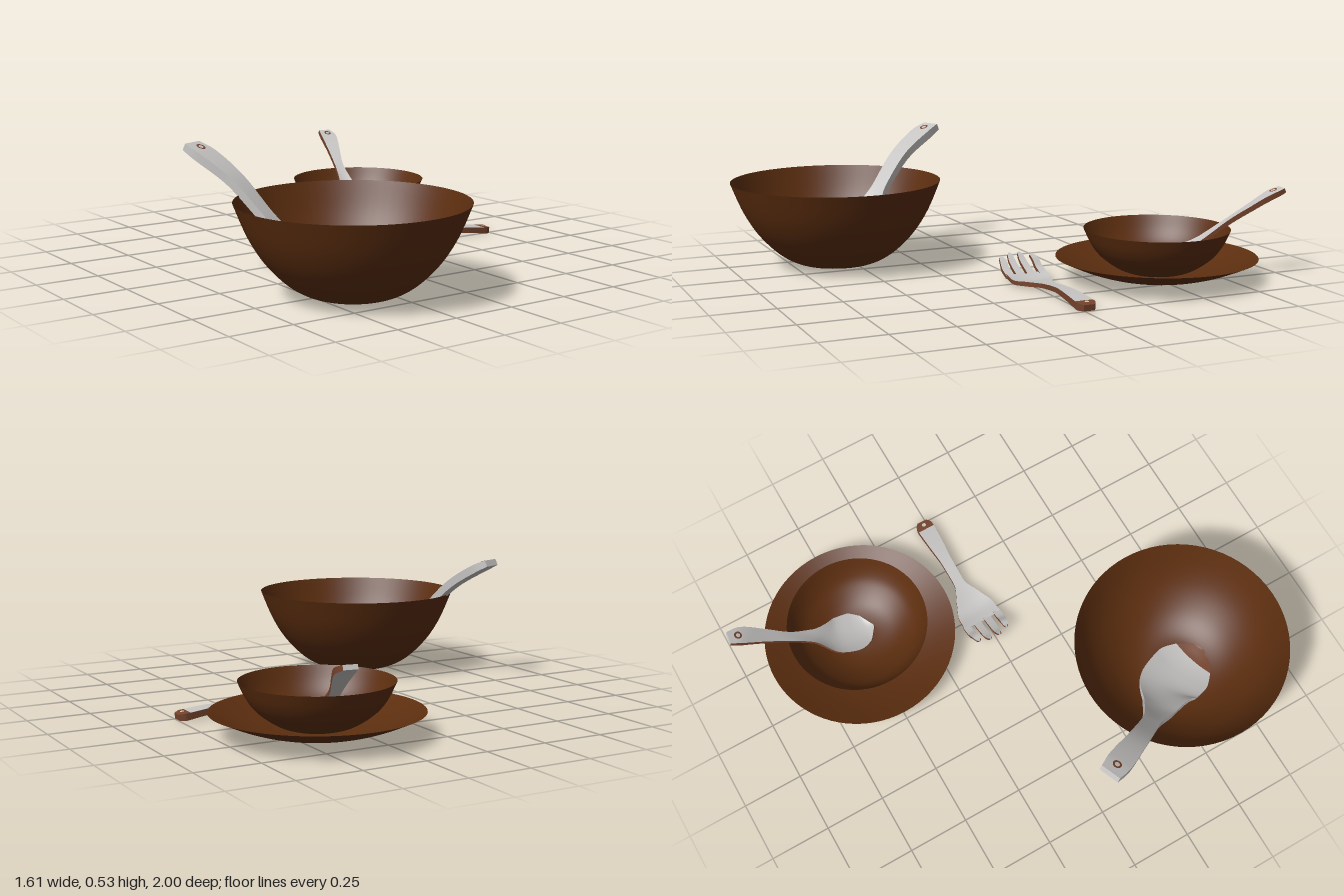
import * as THREE from 'three';

const DS = THREE.DoubleSide;
const wood = new THREE.MeshStandardMaterial({ color: 0x5c2e0f, side: DS });
wood.name = 'darkWood';
const metal = new THREE.MeshStandardMaterial({ color: 0xc6c4c2, side: DS });
metal.name = 'paleGrey';
const trim = new THREE.MeshStandardMaterial({ color: 0x74432c, side: DS });
trim.name = 'edgeBrown';

// Thin turned dish from a few profile points [radius, height]
function dish(name, x, z, profile) {
  const curve = new THREE.SplineCurve(profile.map(([r, y]) => new THREE.Vector2(r, y)));
  const mesh = new THREE.Mesh(new THREE.LatheGeometry(curve.getPoints(28), 72), wood);
  mesh.name = name;
  mesh.position.set(x, 0, z);
  return mesh;
}

// Smooth surface patch, f(a, b) with a and b from 0 to 1
function patch(name, f, na, nb, mat) {
  const pos = [], idx = [];
  for (let i = 0; i <= na; i++) {
    for (let j = 0; j <= nb; j++) {
      pos.push(...f(i / na, j / nb).toArray());
      if (i < na && j < nb) {
        const p = i * (nb + 1) + j, q = p + nb + 1;
        idx.push(p, q, q + 1, p, q + 1, p + 1);
      }
    }
  }
  const g = new THREE.BufferGeometry();
  g.setAttribute('position', new THREE.Float32BufferAttribute(pos, 3));
  g.setIndex(idx);
  g.computeVertexNormals();
  const mesh = new THREE.Mesh(g, mat);
  mesh.name = name;
  return mesh;
}

// Flat bar swept along keys [x, y, z, halfWidth, halfThickness, cup]
function blade(name, keys, sideMat, { from = 0, to = 1, topMat = metal, n = 48 } = {}) {
  const path = new THREE.CatmullRomCurve3(keys.map(k => new THREE.Vector3(k[0], k[1], k[2])));
  const size = new THREE.CatmullRomCurve3(keys.map(k => new THREE.Vector3(k[3], k[4], k[5])));
  const up = new THREE.Vector3(0, 1, 0);
  const at = (s, v, h) => {
    const u = from + (to - from) * s;
    const t = path.getTangent(u), k = size.getPoint(u);
    const side = t.clone().cross(up).normalize();
    const nrm = side.clone().cross(t);
    return path.getPoint(u)
      .addScaledVector(side, Math.max(k.x, 0.002) * v)
      .addScaledVector(nrm, k.y * h + k.z * v * v);
  };
  const g = new THREE.Group();
  g.name = name;
  g.add(
    patch('topFace', (a, b) => at(b, 2 * a - 1, 1), 10, n, topMat),
    patch('underside', (a, b) => at(b, 1 - 2 * a, -1), 10, n, topMat),
    patch('edge', (a, b) => at(a, 1, 2 * b - 1), n, 1, sideMat),
    patch('edge', (a, b) => at(a, -1, 1 - 2 * b), n, 1, sideMat),
    patch('startCap', (a, b) => at(0, 1 - 2 * b, 2 * a - 1), 1, 10, topMat),
    patch('endCap', (a, b) => at(1, 2 * b - 1, 2 * a - 1), 1, 10, topMat)
  );
  return { group: g, at };
}

// Small ring and dot lying on a handle, marking its hanging hole
function hangingHole(at, s, r) {
  const g = new THREE.Group();
  g.name = 'hangingHole';
  const c = at(s, 0, 1);
  const nrm = c.clone().sub(at(s, 0, -1)).normalize();
  const ring = new THREE.Mesh(new THREE.RingGeometry(r * 0.55, r, 20), trim);
  const dot = new THREE.Mesh(new THREE.CircleGeometry(r * 0.55, 20), metal);
  ring.name = 'holeRing';
  dot.name = 'holeCentre';
  g.add(ring, dot);
  g.position.copy(c).addScaledVector(nrm, 0.003);
  g.quaternion.setFromUnitVectors(new THREE.Vector3(0, 0, 1), nrm);
  return g;
}

export function createModel() {
  const model = new THREE.Group();
  model.name = 'tableware';

  // Dishes
  model.add(
    dish('largeBowl', -0.38, 0.57, [[0.001, 0.012], [0.08, 0.012], [0.16, 0.022], [0.24, 0.065],
      [0.32, 0.145], [0.38, 0.24], [0.43, 0.36]]),
    dish('smallBowl', 0.4, -0.5, [[0.001, 0.03], [0.08, 0.032], [0.15, 0.052], [0.22, 0.1],
      [0.26, 0.15], [0.29, 0.212]]),
    dish('plate', 0.4, -0.5, [[0.001, 0.012], [0.1, 0.013], [0.2, 0.027], [0.3, 0.057], [0.4, 0.1]])
  );

  // Serving spoon, its tip a separate brown piece
  const bigKeys = [
    [-0.725, 0.52, 0.01, 0.042, 0.014, 0], [-0.7, 0.49, 0.07, 0.05, 0.017, 0],
    [-0.645, 0.41, 0.19, 0.041, 0.016, 0], [-0.585, 0.29, 0.3, 0.036, 0.014, 0],
    [-0.525, 0.18, 0.39, 0.07, 0.01, 0.01], [-0.455, 0.105, 0.48, 0.122, 0.007, 0.03],
    [-0.42, 0.075, 0.57, 0.127, 0.006, 0.035], [-0.395, 0.065, 0.65, 0.095, 0.006, 0.025],
    [-0.382, 0.07, 0.7, 0.045, 0.006, 0.008], [-0.38, 0.072, 0.715, 0.004, 0.006, 0]
  ];
  const big = blade('servingSpoon', bigKeys, metal, { to: 0.78 });
  const tip = blade('servingSpoonTip', bigKeys, trim, { from: 0.78, topMat: trim, n: 16 });
  big.group.add(tip.group, hangingHole(big.at, 0.09, 0.018));

  // Small spoon
  const small = blade('smallSpoon', [
    [0.542, 0.355, -0.99, 0.027, 0.009, 0], [0.535, 0.335, -0.94, 0.036, 0.011, 0],
    [0.51, 0.285, -0.86, 0.028, 0.01, 0], [0.478, 0.225, -0.77, 0.02, 0.009, 0],
    [0.455, 0.16, -0.68, 0.03, 0.007, 0.005], [0.43, 0.1, -0.6, 0.079, 0.005, 0.02],
    [0.417, 0.076, -0.53, 0.087, 0.004, 0.024], [0.412, 0.066, -0.47, 0.062, 0.004, 0.014],
    [0.41, 0.068, -0.432, 0.006, 0.004, 0]
  ], trim);
  small.group.add(hangingHole(small.at, 0.09, 0.016));

  // Fork: handle and head, with four tines
  const forkKeys = [
    [0.748, 0.018, 0.022 - 0.04, 0.022, 0.012, 0], [0.72, 0.021, -0.018, 0.037, 0.014, 0],
    [0.62, 0.033, -0.018, 0.032, 0.012, 0], [0.52, 0.037, -0.018, 0.024, 0.01, 0],
    [0.42, 0.029, -0.018, 0.023, 0.009, 0], [0.34, 0.02, -0.017, 0.055, 0.009, 0.003],
    [0.27, 0.014, -0.016, 0.083, 0.008, 0.006], [0.21, 0.026, -0.016, 0.086, 0.008, 0.008]
  ];
  const handleEnd = blade('forkHandleEnd', forkKeys, trim, { to: 0.17, topMat: trim, n: 12 });
  const fork = blade('fork', forkKeys, trim, { from: 0.17 });
  fork.group.add(handleEnd.group, hangingHole(handleEnd.at, 0.7, 0.016));
  for (let i = 0; i < 4; i++) {
    const o = i - 1.5, outer = Math.abs(o) > 1;
    const z = -0.016 + o * 0.048, lift = outer ? 0.006 : 0, end = outer ? 0.12 : 0.102;
    fork.group.add(blade('tine', [
      [0.225, 0.022 + lift, z, 0.016, 0.007, 0],
      [0.18, 0.042 + lift, z, 0.0155, 0.007, 0],
      [end + 0.03, 0.07 + lift, z - o * 0.002, 0.014, 0.006, 0],
      [end + 0.008, outer ? 0.083 : 0.09, z - o * 0.004, 0.01, 0.005, 0],
      [end, outer ? 0.087 : 0.096, z - o * 0.005, 0.004, 0.004, 0]
    ], trim, { n: 14 }).group);
  }

  model.add(big.group, small.group, fork.group);
  return model;
}
